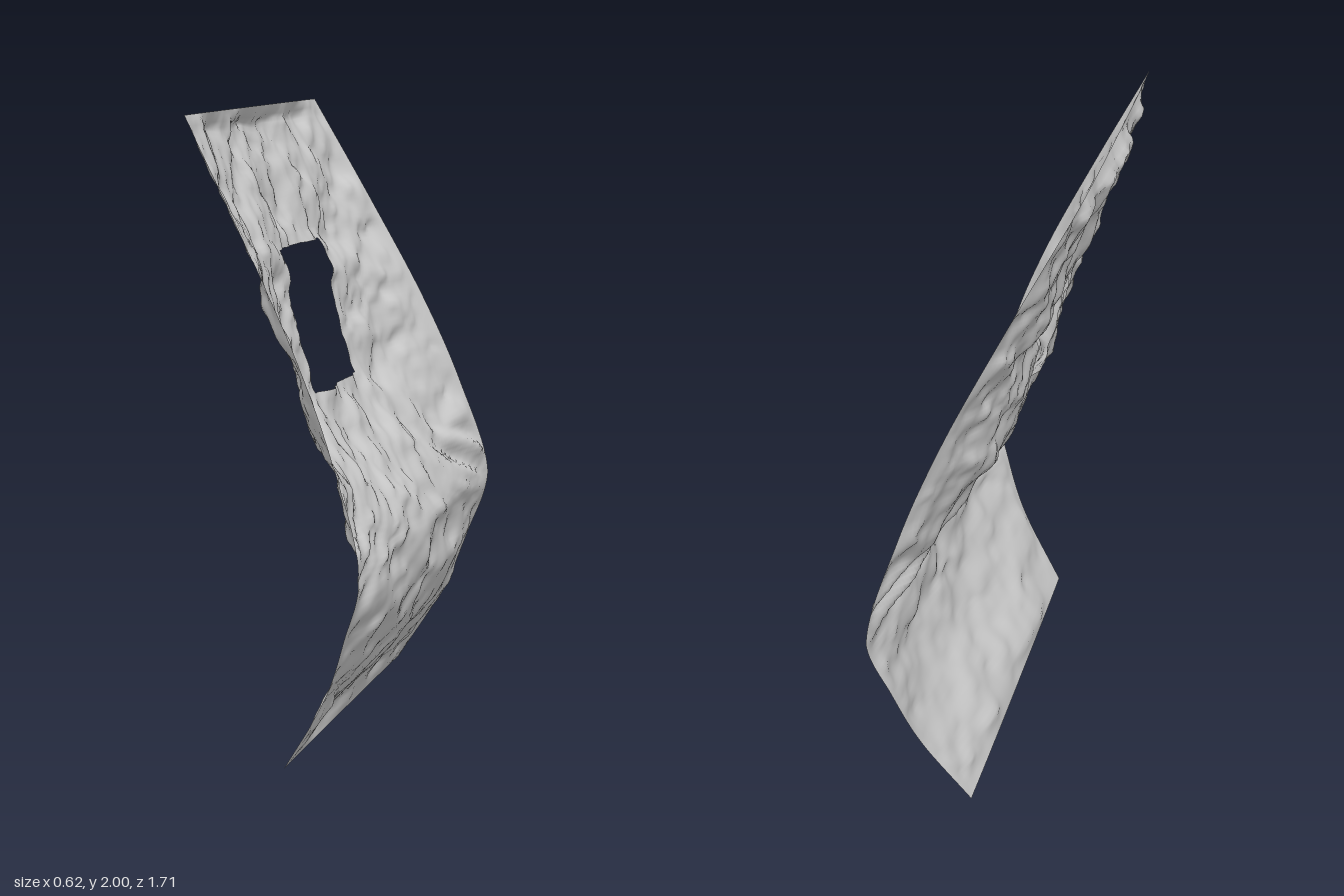
import * as THREE from 'three';

// Piecewise interpolation through [y, value] points (smooth option eases with a Catmull-Rom curve)
function profile(points) {
  const curve = new THREE.CatmullRomCurve3(points.map(([y, v]) => new THREE.Vector3(v, y, 0)), false, 'centripetal');
  const samples = curve.getPoints(200);
  return (y) => {
    let i = 1;
    while (i < samples.length - 1 && samples[i].y < y) i++;
    const a = samples[i - 1], b = samples[i];
    const t = THREE.MathUtils.clamp((y - a.y) / (b.y - a.y), 0, 1);
    return a.x + (b.x - a.x) * t;
  };
}

// Smooth seeded value noise in -1..1
function hash(i, j) {
  const n = Math.sin(i * 127.1 + j * 311.7 + 4.3) * 43758.5453;
  return (n - Math.floor(n)) * 2 - 1;
}
function noise(a, b) {
  const i = Math.floor(a), j = Math.floor(b);
  const ease = (t) => t * t * (3 - 2 * t);
  const u = ease(a - i), v = ease(b - j);
  const { lerp } = THREE.MathUtils;
  return lerp(lerp(hash(i, j), hash(i + 1, j), u), lerp(hash(i, j + 1), hash(i + 1, j + 1), u), v);
}

// Bent side edge, and the centre line that sinks above the bend and swells below it
const rimX = profile([[0, 0.015], [0.25, 0.165], [0.45, 0.24], [0.66, 0.3], [1.0, 0.21], [1.3, 0.09], [1.65, -0.085], [2, -0.27]]);
const midX = profile([[0, 0.0], [0.1, 0.06], [0.32, 0.225], [0.5, 0.275], [0.66, 0.265], [0.8, 0.19], [1.105, -0.01], [1.555, -0.145], [1.9, -0.275], [2, -0.305]]);

// Outline: widest at the bend, narrower and slightly off centre at the top
const BEND = 0.66;
const edgeZ = (y, side) => {
  const top = side > 0 ? 0.74 : 0.59;
  return side * (y < BEND
    ? THREE.MathUtils.lerp(0.69, 0.857, y / BEND)
    : THREE.MathUtils.lerp(0.857, top, (y - BEND) / (2 - BEND)));
};
const HOLE = { z0: -0.207, z1: 0.257, y0: 1.105, y1: 1.555 };

function sheetPoint(y, z) {
  const s = Math.abs(z / edgeZ(y, Math.sign(z) || 1));
  const end = Math.min(1, y / 0.05, (2 - y) / 0.05);
  const fill = (1 - Math.pow(s, 3.2)) * (0.15 + 0.85 * end);
  // Rough lumps, drawn out sideways below the bend
  const low = THREE.MathUtils.smoothstep(y, 0.55, 0.9);
  const kz = 3.5 + 4.5 * low;
  const lumps = 0.02 * noise(z * kz + 20, y * 9 + 7) + 0.012 * noise(z * kz * 2 + 3, y * 17 + 31)
    + 0.006 * noise(z * kz * 4, y * 30);
  const fade = Math.min(1, (1 - s) / 0.07) * end;
  const x = THREE.MathUtils.lerp(rimX(y), midX(y), fill) + lumps * fade;
  // Sideways drift gives the lumps a slight overhang
  const nearHole = y > HOLE.y0 - 0.04 && y < HOLE.y1 + 0.04 && z > HOLE.z0 - 0.04 && z < HOLE.z1 + 0.04;
  const drift = nearHole ? 0.15 : 1;
  return [x, y + 0.012 * fade * drift * noise(z * kz + 50, y * 10 + 60), z];
}

// Split breakpoints into finer steps
function subdivide(breaks, counts) {
  const out = [breaks[0]];
  counts.forEach((n, k) => {
    for (let i = 1; i <= n; i++) out.push(THREE.MathUtils.lerp(breaks[k], breaks[k + 1], i / n));
  });
  return out;
}

function sheetGeometry() {
  const rows = subdivide([0, 0.05, BEND, HOLE.y0, HOLE.y1, 1.95, 2], [3, 38, 28, 28, 26, 3]);
  const counts = [44, 28, 44];
  const columns = counts[0] + counts[1] + counts[2] + 1;
  const positions = [], index = [];
  for (const y of rows) {
    const zs = subdivide([edgeZ(y, -1), HOLE.z0, HOLE.z1, edgeZ(y, 1)], counts);
    for (const z of zs) positions.push(...sheetPoint(y, z));
  }
  for (let r = 0; r < rows.length - 1; r++) {
    const inRows = rows[r] > HOLE.y0 - 1e-6 && rows[r + 1] < HOLE.y1 + 1e-6;
    for (let c = 0; c < columns - 1; c++) {
      // Leave the window open
      if (inRows && c >= counts[0] && c < counts[0] + counts[1]) continue;
      const a = r * columns + c, b = a + columns;
      index.push(a, b, a + 1, b, b + 1, a + 1);
    }
  }
  const geometry = new THREE.BufferGeometry();
  geometry.setAttribute('position', new THREE.Float32BufferAttribute(positions, 3));
  geometry.setIndex(index);
  geometry.computeVertexNormals();
  return geometry;
}

export function createModel() {
  const group = new THREE.Group();
  group.name = 'bentRockPanel';
  const material = new THREE.MeshStandardMaterial({ color: 0xcccccc, side: THREE.DoubleSide });
  const panel = new THREE.Mesh(sheetGeometry(), material);
  panel.name = 'roughPanelWithWindow';
  group.add(panel);
  return group;
}
